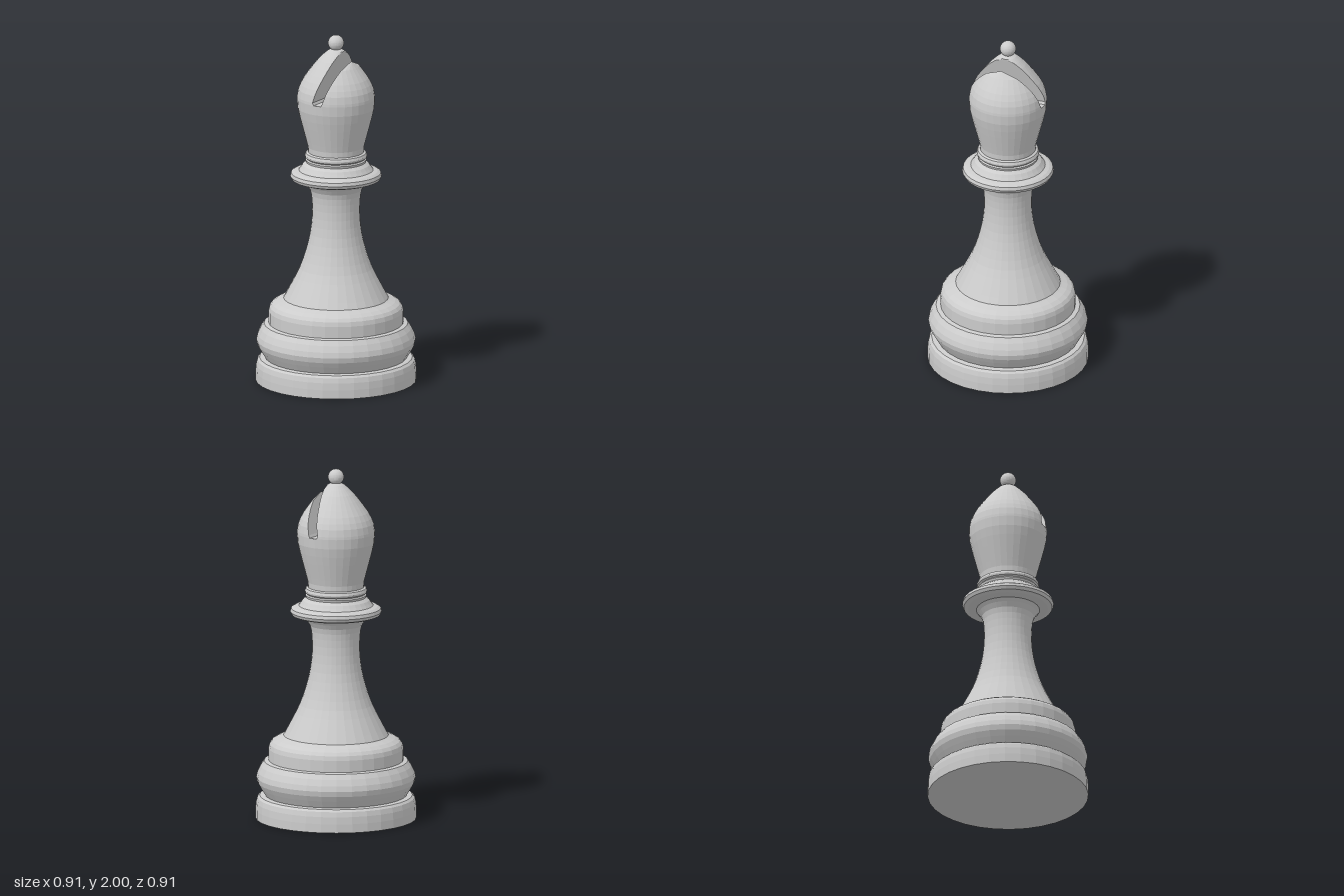
import * as THREE from 'three';

const SIDES = 32;
const material = new THREE.MeshStandardMaterial({ color: 0xcccccc, flatShading: true, side: THREE.DoubleSide });

// Slot edges in x at height y, leaning towards +x and narrowing at the floor
const FLOOR = 1.635;
const slotLeft = y => (y <= FLOOR ? -0.012 : -0.02 + 0.262 * (y - 1.65));
const slotRight = y => (y <= FLOOR ? 0.035 : 0.042 + 0.28 * (y - 1.65));

// Upper head profile [radius, y]
const DOME = [
  [0.22, FLOOR], [0.219, 1.65], [0.212, 1.69], [0.2, 1.72], [0.182, 1.753], [0.158, 1.787],
  [0.131, 1.823], [0.1008, 1.86], [0.073, 1.888], [0.048, 1.91], [0.02, 1.925], [0, 1.928],
];

function turned(name, points) {
  const geometry = new THREE.LatheGeometry(points.map(p => new THREE.Vector2(...p)), SIDES);
  const mesh = new THREE.Mesh(geometry, material);
  mesh.name = name;
  return mesh;
}

// One side of the split dome: closed rings of an arc and a chord, lofted upwards
function domePart(name, levels, edge, first) {
  const step = (2 * Math.PI) / SIDES;
  const positions = [];
  const indices = [];
  const n = SIDES + 1;
  levels.forEach(([r, y], j) => {
    const cut = r > 0 ? Math.acos(THREE.MathUtils.clamp(edge(y) / r, -1, 1)) : 0;
    const [lo, hi] = first < 0 ? [-cut, cut] : [cut, 2 * Math.PI - cut];
    for (let i = 0; i < n; i++) {
      const t = THREE.MathUtils.clamp((first + i) * step, lo, hi);
      positions.push(r * Math.cos(t), y, r * Math.sin(t));
      if (j < levels.length - 1) {
        const a = j * n + i, b = j * n + ((i + 1) % n);
        indices.push(a, a + n, b + n, a, b + n, b);
      }
    }
  });
  const geometry = new THREE.BufferGeometry();
  geometry.setAttribute('position', new THREE.Float32BufferAttribute(positions, 3));
  geometry.setIndex(indices);
  geometry.computeVertexNormals();
  const mesh = new THREE.Mesh(geometry, material);
  mesh.name = name;
  return mesh;
}

export function createModel() {
  const model = new THREE.Group();
  model.name = 'chessBishop';

  // Stepped foot
  model.add(turned('base', [
    [0, 0], [0.453, 0], [0.453, 0.05], [0.45, 0.09], [0.443, 0.118], [0.43, 0.13], [0.4, 0.134],
  ]));
  model.add(turned('baseRing', [
    [0.4, 0.134], [0.425, 0.175], [0.442, 0.205], [0.449, 0.235], [0.442, 0.265],
    [0.425, 0.3], [0.405, 0.328], [0.38, 0.333],
  ]));
  model.add(turned('baseStep', [
    [0.38, 0.333], [0.38, 0.4], [0.374, 0.425], [0.36, 0.443], [0.335, 0.458], [0.305, 0.47], [0.295, 0.475],
  ]));

  // Flared shaft
  const shaft = new THREE.SplineCurve([
    [0.295, 0.475], [0.25, 0.56], [0.205, 0.65], [0.17, 0.75], [0.146, 0.85],
    [0.135, 0.95], [0.136, 1.04], [0.147, 1.105], [0.178, 1.15],
  ].map(p => new THREE.Vector2(...p)));
  model.add(turned('shaft', shaft.getPoints(16).map(p => [p.x, p.y])));

  // Collar and neck beads
  model.add(turned('collar', [
    [0.178, 1.15], [0.225, 1.157], [0.249, 1.166], [0.258, 1.184], [0.253, 1.203],
    [0.235, 1.213], [0.21, 1.219], [0.198, 1.235], [0.188, 1.25], [0.168, 1.265],
  ]));
  model.add(turned('neckBead', [
    [0.168, 1.265], [0.172, 1.278], [0.165, 1.285], [0.174, 1.293], [0.176, 1.304], [0.17, 1.318], [0.157, 1.324],
  ]));

  // Lower head swelling up to the slot floor
  model.add(turned('lowerHead', [
    [0.157, 1.324], [0.159, 1.355], [0.168, 1.39], [0.18, 1.435], [0.192, 1.48],
    [0.205, 1.53], [0.216, 1.58], DOME[0],
  ]));

  // Split upper head
  model.add(domePart('upperHeadMain', DOME, slotLeft, 0));
  model.add(domePart('upperHeadFlap', DOME.filter(p => p[1] <= 1.86), slotRight, -SIDES / 2));

  // Slot floor
  const x0 = slotLeft(FLOOR), x1 = slotRight(FLOOR);
  const floor = new THREE.Mesh(new THREE.PlaneGeometry(x1 - x0, 0.437).rotateX(-Math.PI / 2), material);
  floor.position.set((x0 + x1) / 2, FLOOR, 0);
  floor.name = 'slotFloor';
  model.add(floor);

  // Top ball
  const ball = new THREE.Mesh(new THREE.SphereGeometry(0.045, SIDES, 16), material);
  ball.position.y = 1.955;
  ball.name = 'finial';
  model.add(ball);

  return model;
}
